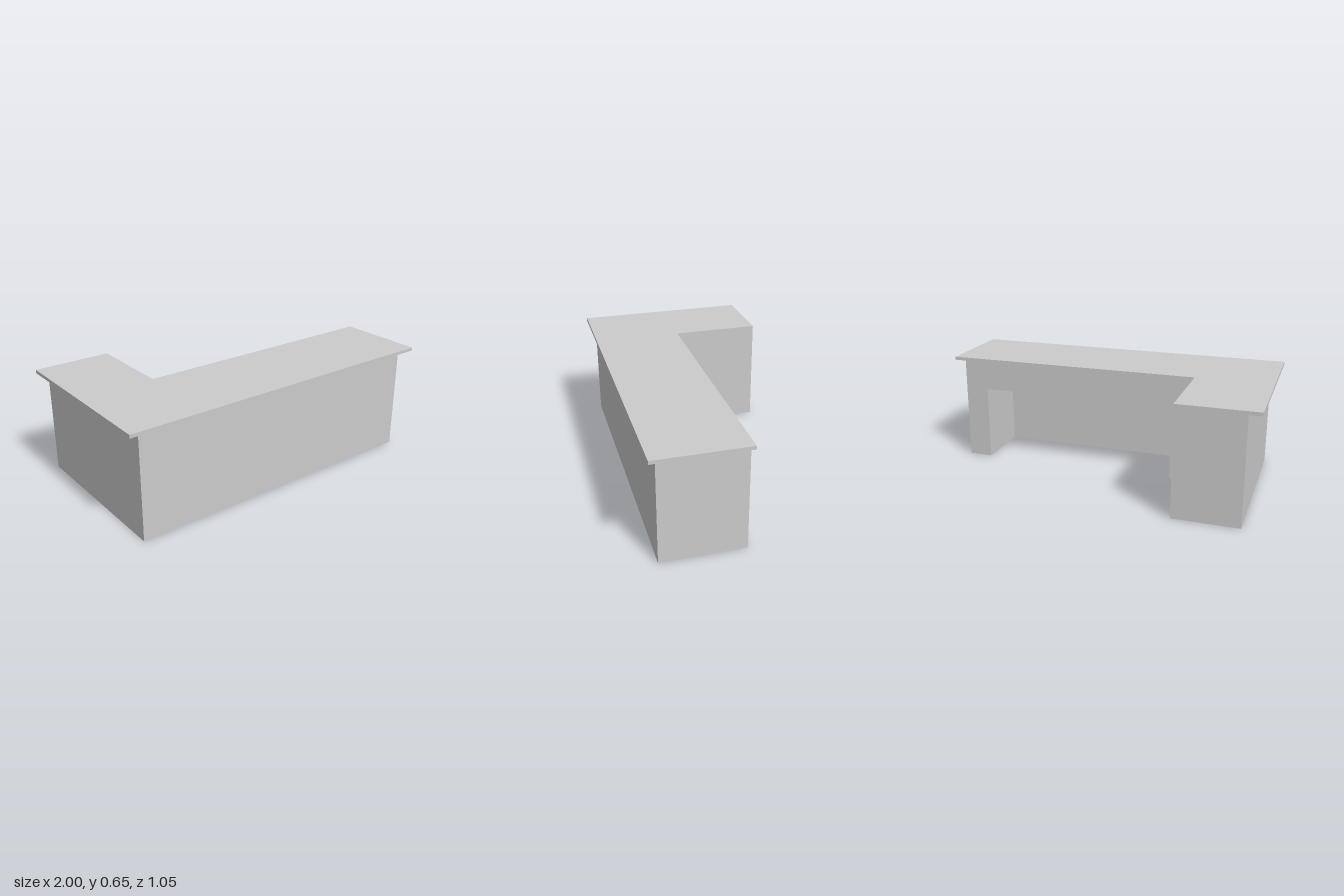
import * as THREE from 'three';

const BACK = -0.525;    // rear end of the side return
const INNER_Z = -0.003; // rear face of the main run
const INNER_X = -0.545; // inner face of the side return
const KNEE_TOP = 0.453, BODY_TOP = 0.628, TOP = 0.648;

// Extrudes an [x, z] floor plan from height y0 up to y1.
function slab(name, plan, y0, y1, material) {
  const shape = new THREE.Shape(plan.map(([x, z]) => new THREE.Vector2(x, -z)));
  const geometry = new THREE.ExtrudeGeometry(shape, { depth: y1 - y0, bevelEnabled: false });
  geometry.rotateX(-Math.PI / 2).translate(0, y0, 0);
  const mesh = new THREE.Mesh(geometry, material);
  mesh.name = name;
  return mesh;
}

// L-shaped plan; notch points are inserted along the rear edge of the main run.
function lPlan(halfWidth, front, notch = []) {
  return [
    [-halfWidth, front], [halfWidth, front], [halfWidth, INNER_Z],
    ...notch,
    [INNER_X, INNER_Z], [INNER_X, BACK], [-halfWidth, BACK],
  ];
}

export function createModel() {
  const group = new THREE.Group();
  group.name = 'receptionDesk';
  const material = new THREE.MeshStandardMaterial({ color: 0xcccccc, flatShading: true });

  // Knee recess open to the rear and to the floor
  const knee = [[0.784, INNER_Z], [0.784, 0.36], [-0.414, 0.36], [-0.414, INNER_Z]];

  group.add(
    slab('pedestalsAndFrontPanel', lPlan(0.928, 0.478, knee), 0, KNEE_TOP, material),
    slab('upperBody', lPlan(0.928, 0.478), KNEE_TOP, BODY_TOP, material),
    // Worktop overhangs the front and both ends, flush at the rear
    slab('worktop', lPlan(1, 0.525), BODY_TOP, TOP, material),
  );
  return group;
}
